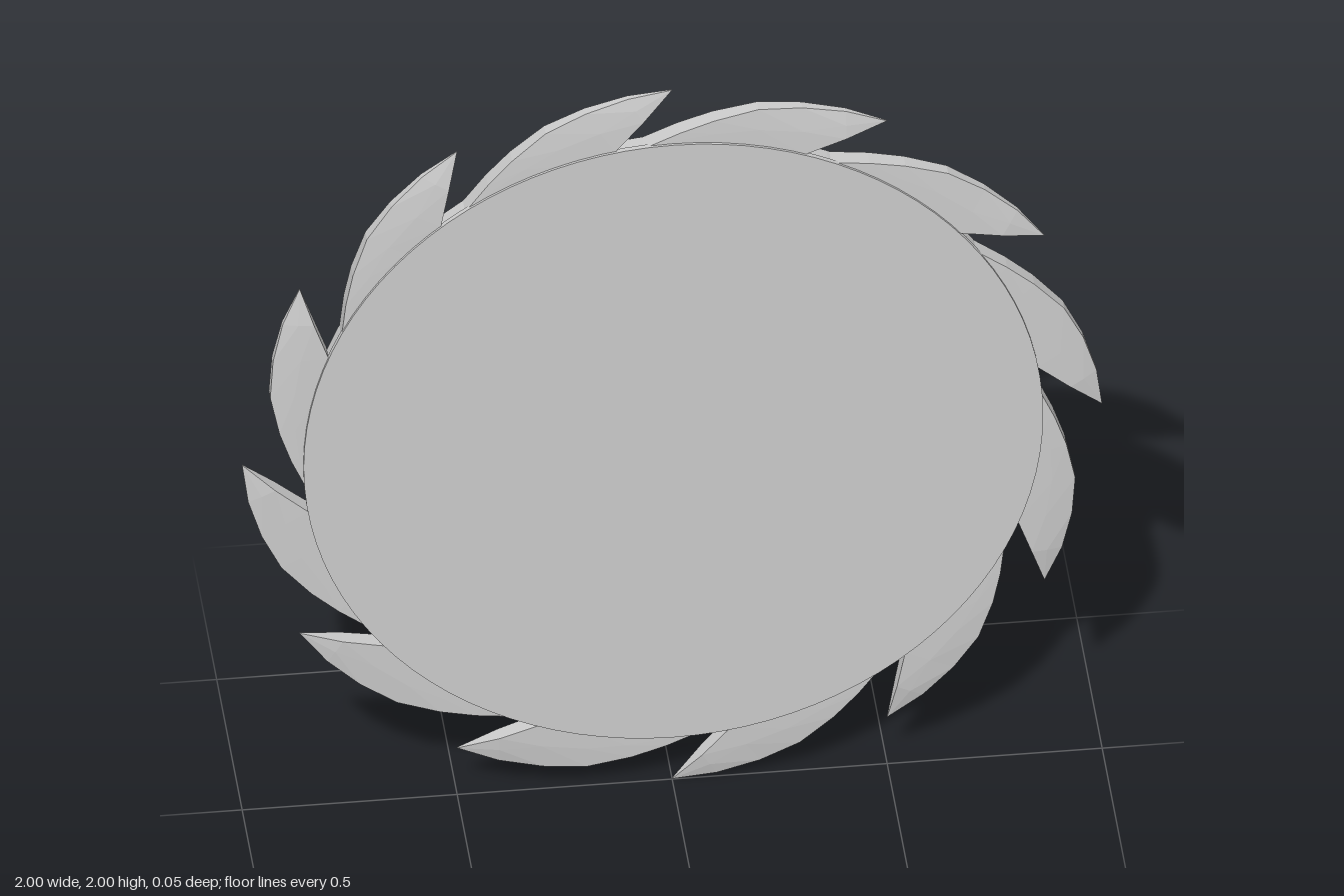
import * as THREE from 'three';

const TEETH = 12;
const ROOT = 0.855;      // radius where the teeth begin
const HALF = 0.022;      // half thickness of the blade
const MID_Z = -0.003;    // middle plane of the blade

// Tooth edges from tip to root: [degrees behind the tip, radius]
const OUTER = [[0, 1], [6, 0.992], [12, 0.977], [18, 0.957], [24, 0.92], [29, 0.888], [35, 0.852]];
const INNER = [[0, 1], [4.2, 0.927], [9, 0.858], [16, 0.85], [22, 0.85], [28, 0.85], [35, 0.85]];

const polar = ([deg, r]) => {
  const a = THREE.MathUtils.degToRad(deg);
  return new THREE.Vector2(r * Math.cos(a), r * Math.sin(a));
};

// The blade thins in a rounded curve from the root circle to the tip
function halfThickness(r) {
  const t = THREE.MathUtils.clamp((r - 0.85) / 0.15, 0, 1);
  return Math.max(0.0015, HALF * Math.sqrt(1 - t * t));
}

// Curved hooked tooth lofted through cross-sections that run from inner to outer edge
function toothGeometry() {
  const positions = [];
  const index = [];
  const spans = [0, 0.5, 1];
  const ring = spans.length * 2;
  OUTER.forEach((outer, s) => {
    const o = polar(outer);
    const i = polar(INNER[s]);
    const row = spans.map((t) => i.clone().lerp(o, t));
    for (const p of row) positions.push(p.x, p.y, halfThickness(p.length()));
    for (const p of row.reverse()) positions.push(p.x, p.y, -halfThickness(p.length()));
    if (s === 0) return;
    for (let j = 0; j < ring; j++) {
      const k = (j + 1) % ring;
      const a = (s - 1) * ring + j, b = (s - 1) * ring + k;
      const c = s * ring + k, d = s * ring + j;
      index.push(a, b, c, a, c, d);
    }
  });
  const geometry = new THREE.BufferGeometry();
  geometry.setAttribute('position', new THREE.Float32BufferAttribute(positions, 3));
  geometry.setIndex(index);
  const flat = geometry.toNonIndexed();
  flat.computeVertexNormals();
  return flat;
}

export function createModel() {
  const model = new THREE.Group();
  model.name = 'circularBlade';
  const metal = new THREE.MeshStandardMaterial({ color: 0xcccccc, flatShading: true });
  const smooth = new THREE.MeshStandardMaterial({ color: 0xcccccc });

  const wheel = new THREE.Group();
  wheel.name = 'blade';
  wheel.position.set(0, 1, MID_Z);
  model.add(wheel);

  // Flat body of the blade
  const body = new THREE.Mesh(new THREE.CylinderGeometry(ROOT, ROOT, HALF * 2, 72).rotateX(Math.PI / 2), metal);
  body.name = 'bladeBody';
  wheel.add(body);

  // Ring of hooked teeth
  const geometry = toothGeometry();
  for (let k = 0; k < TEETH; k++) {
    const tooth = new THREE.Mesh(geometry, metal);
    tooth.name = 'tooth';
    tooth.rotation.z = (k * Math.PI * 2) / TEETH;
    wheel.add(tooth);
  }

  // Round plate on the front face
  const plate = new THREE.Mesh(new THREE.CylinderGeometry(0.86, 0.86, 0.013, 96).rotateX(Math.PI / 2), smooth);
  plate.name = 'frontPlate';
  plate.position.set(0, 1, 0.0185);
  model.add(plate);

  return model;
}
